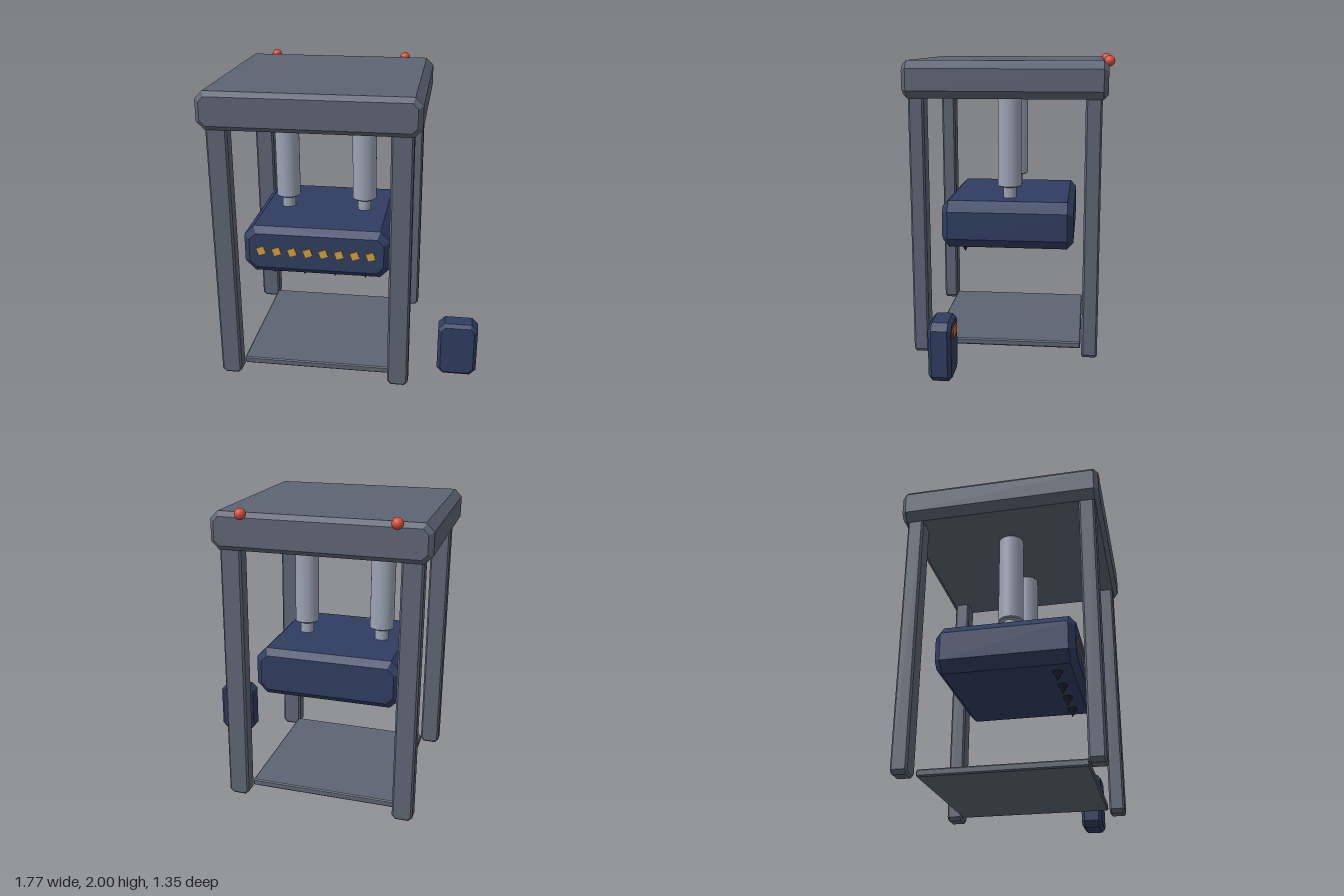
import * as THREE from 'three';

const mat = (color) => new THREE.MeshStandardMaterial({ color });
const frameMat = mat(0x5c6473), navyMat = mat(0x2f3d60), steelMat = mat(0x9aa3b3);
const amberMat = mat(0xd9a030), orangeMat = mat(0xd9601a), redMat = mat(0xd9503a), darkMat = mat(0x1c2028);

export function createModel() {
  const model = new THREE.Group();

  const add = (name, geometry, material, x, y, z) => {
    const mesh = new THREE.Mesh(geometry, material);
    mesh.name = name;
    mesh.position.set(x, y, z);
    model.add(mesh);
    return mesh;
  };

  // Box with cut corners (c) seen from the front and bevelled front and back edges (b)
  const chamferBox = (name, material, [x0, x1], [y0, y1], [z0, z1], c, b) => {
    const w = (x1 - x0) / 2 - b, h = (y1 - y0) / 2 - b, d = z1 - z0 - 2 * b;
    const k = Math.max(c - b * (2 - Math.SQRT2), 0.001);
    const shape = new THREE.Shape([
      [w - k, -h], [w, -h + k], [w, h - k], [w - k, h],
      [-w + k, h], [-w, h - k], [-w, -h + k], [-w + k, -h],
    ].map(([x, y]) => new THREE.Vector2(x, y)));
    const geometry = new THREE.ExtrudeGeometry(shape, {
      depth: d, bevelEnabled: true, bevelSize: b, bevelThickness: b, bevelSegments: 1,
    });
    geometry.translate(0, 0, -d / 2);
    return add(name, geometry, material, (x0 + x1) / 2, (y0 + y1) / 2, (z0 + z1) / 2);
  };

  // Frame: top slab, four legs and base plate
  chamferBox('topSlab', frameMat, [-0.885, 0.485], [1.73, 1.97], [-0.635, 0.67], 0.05, 0.03);
  for (const x of [[-0.835, -0.7], [0.297, 0.435]])
    for (const z of [[-0.6, -0.495], [0.535, 0.637]])
      chamferBox('leg', frameMat, x, [0.01, 1.76], z, 0.025, 0.012);
  chamferBox('basePlate', frameMat, [-0.705, 0.305], [0.025, 0.07], [-0.487, 0.527], 0.008, 0.007);

  // Press head hanging from two pistons
  chamferBox('pressHead', navyMat, [-0.69, 0.29], [0.703, 1.027], [-0.427, 0.467], 0.068, 0.042);
  for (const x of [-0.47, 0.065]) {
    const profile = [[0, 1.105], [0.075, 1.105], [0.082, 1.112], [0.082, 1.75], [0, 1.75]];
    // Doubled rows keep the lathe edges sharp
    const points = profile.flatMap(([r, y]) => [new THREE.Vector2(r, y), new THREE.Vector2(r, y)]).slice(1, -1);
    add('pistonCylinder', new THREE.LatheGeometry(points, 32), steelMat, x, 0, 0.02);
    add('pistonRod', new THREE.CylinderGeometry(0.046, 0.046, 0.15, 32), steelMat, x, 1.065, 0.02);
  }

  // Tilted warning squares along the head's front
  for (let i = 0; i < 8; i++) {
    const square = add('warningMark', new THREE.BoxGeometry(0.05, 0.05, 0.01), amberMat, -0.568 + i * 0.1045, 0.865, 0.467);
    square.rotation.z = 0.35;
  }

  // Spikes under the head
  for (let i = 0; i < 4; i++) {
    const spike = add('spike', new THREE.ConeGeometry(0.034, 0.065, 16), darkMat, -0.515 + i * 0.209, 0.674, 0.33);
    spike.rotation.x = Math.PI;
  }

  // Signal lamps on the top rear edge
  for (const x of [-0.678, 0.275])
    add('lamp', new THREE.SphereGeometry(0.035, 24, 16), redMat, x, 1.965, -0.64);

  // Separate control box with a display on its back
  chamferBox('controlBox', navyMat, [0.62, 0.885], [0, 0.385], [0.303, 0.448], 0.042, 0.022);
  add('controlDisplay', new THREE.BoxGeometry(0.125, 0.062, 0.012), orangeMat, 0.752, 0.3, 0.302);

  return model;
}
